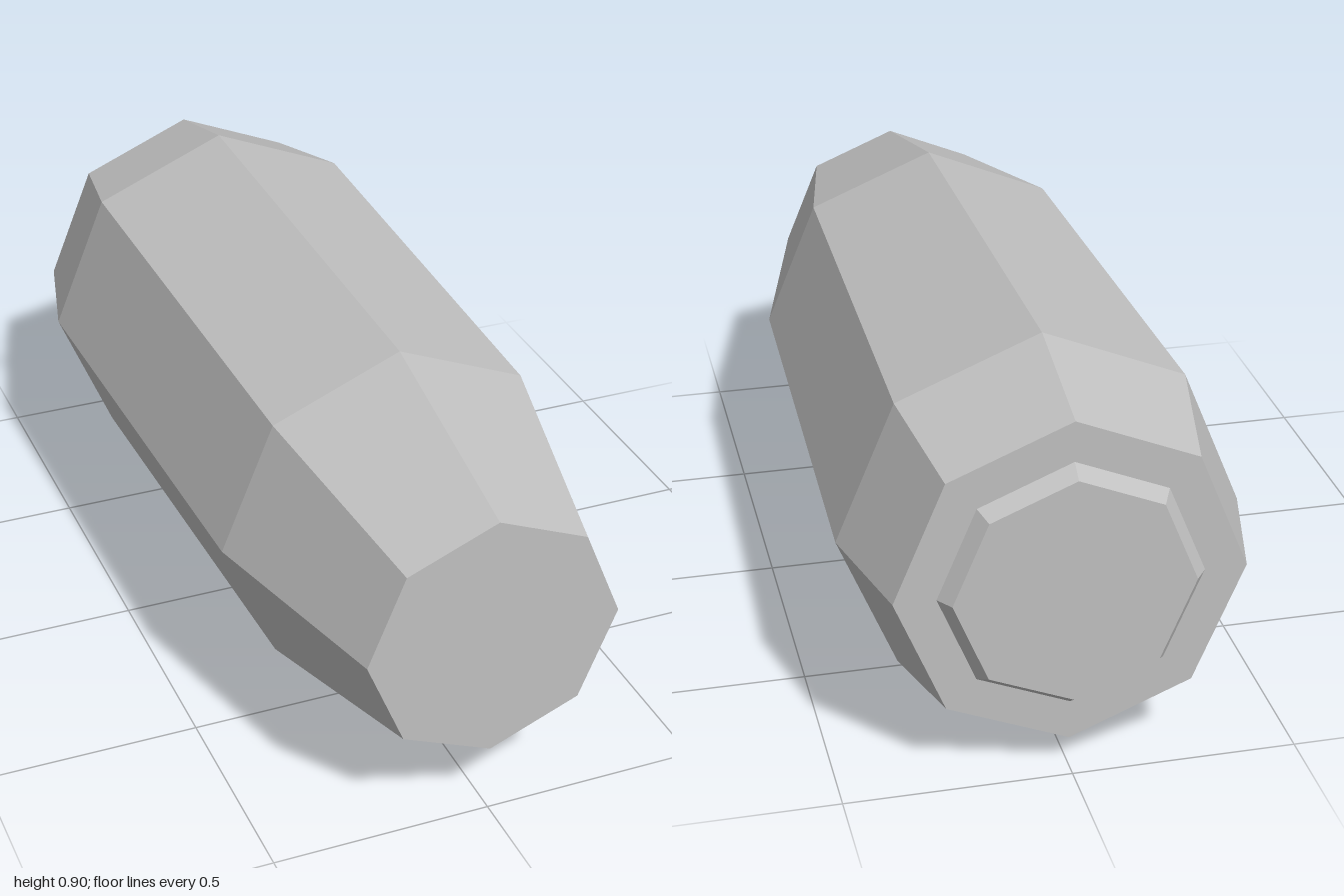
import * as THREE from 'three';

const SIDES = 8;
const AXIS_HEIGHT = 0.45;

// Faceted solid of revolution along z, from [radius, z] pairs running back to front
function turned(name, profile, material) {
  const points = profile.map(([r, z]) => new THREE.Vector2(r, z));
  const geometry = new THREE.LatheGeometry(points, SIDES).rotateX(Math.PI / 2).toNonIndexed();
  geometry.computeVertexNormals();
  const mesh = new THREE.Mesh(geometry, material);
  mesh.name = name;
  mesh.position.y = AXIS_HEIGHT;
  return mesh;
}

export function createModel() {
  const grey = new THREE.MeshStandardMaterial({ color: 0xc0c0c0, flatShading: true });
  grey.name = 'light grey';

  const group = new THREE.Group();
  group.name = 'octagonalCapsule';

  // Tapered body, closed at both ends
  group.add(turned('body', [
    [0, -0.965], [0.38, -0.965], [0.45, -0.685], [0.42, 0.48], [0.29, 1], [0, 1],
  ], grey));

  // Shallow bevelled plug on the back end
  group.add(turned('backPlug', [[0, -1], [0.262, -1], [0.288, -0.965]], grey));

  return group;
}
